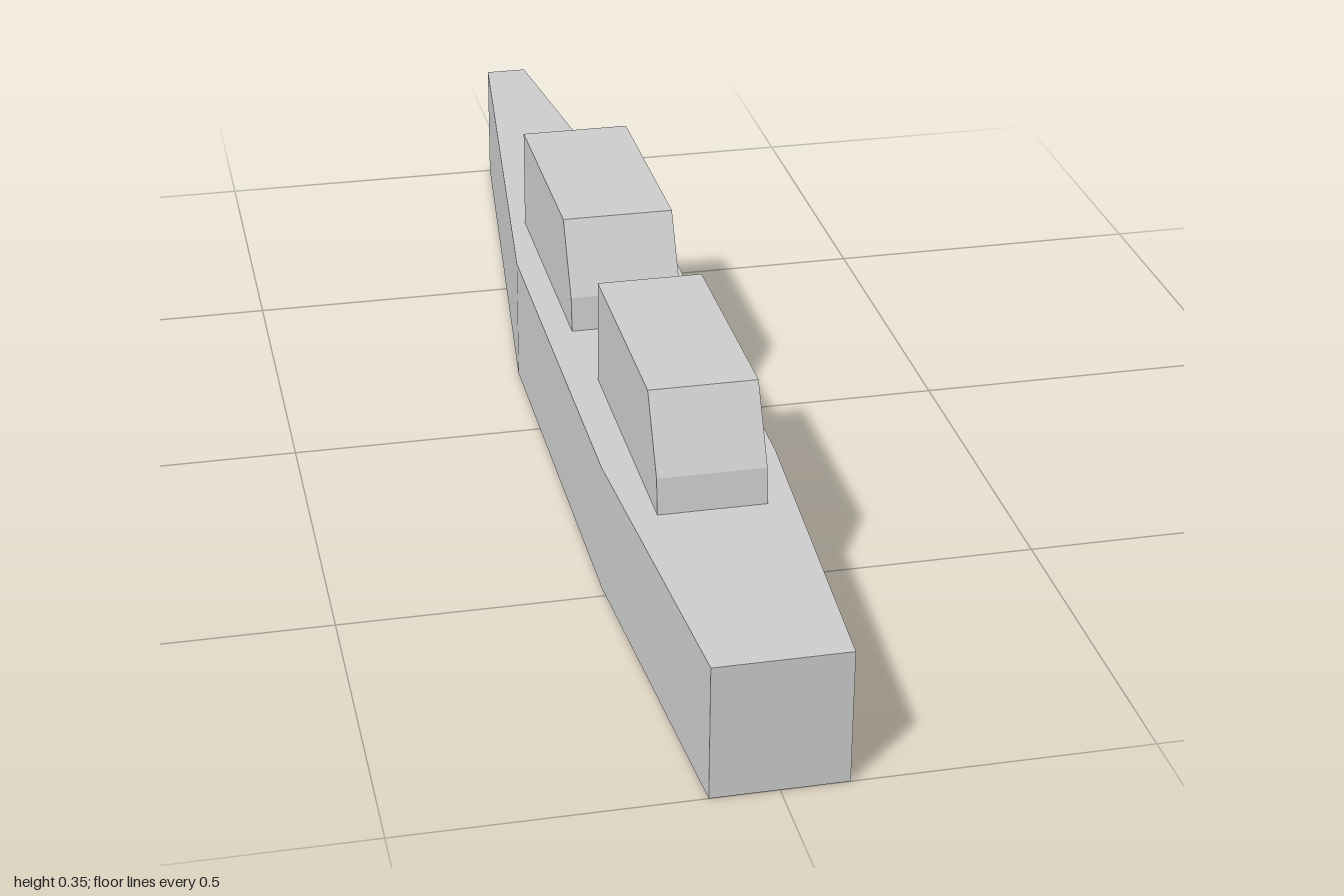
import * as THREE from 'three';

const grey = new THREE.MeshStandardMaterial({ color: 0xcccccc, flatShading: true });
const DECK = 0.193;

function extrude(points, depth) {
  const shape = new THREE.Shape(points.map(([x, y]) => new THREE.Vector2(x, y)));
  return new THREE.ExtrudeGeometry(shape, { depth, bevelEnabled: false });
}

// Tapered hull: half widths along z, mirrored and extruded upwards
function makeHull() {
  const half = [[0.092, 1], [0.123, 0.48], [0.123, -0.19], [0.033, -1]];
  const right = half.map(([x, z]) => [x, -z]);
  const left = half.map(([x, z]) => [-x, -z]).reverse();
  const hull = new THREE.Mesh(extrude([...right, ...left], DECK).rotateX(-Math.PI / 2), grey);
  hull.name = 'hull';
  return hull;
}

// Cabin: side profile with a sloped windscreen, extruded across the width
function makeCabin(name, frontZ, halfWidth) {
  const profile = [[-0.4, 0], [0, 0], [-0.006, 0.052], [-0.064, 0.155], [-0.4, 0.155]];
  const geometry = extrude(profile, halfWidth * 2)
    .translate(0, 0, -halfWidth)
    .rotateY(-Math.PI / 2);
  const cabin = new THREE.Mesh(geometry, grey);
  cabin.position.set(0, DECK, frontZ);
  cabin.name = name;
  return cabin;
}

export function createModel() {
  const group = new THREE.Group();
  group.name = 'boat';
  group.add(
    makeHull(),
    makeCabin('frontCabin', 0.622, 0.076),
    makeCabin('rearCabin', 0.06, 0.083),
  );
  return group;
}
